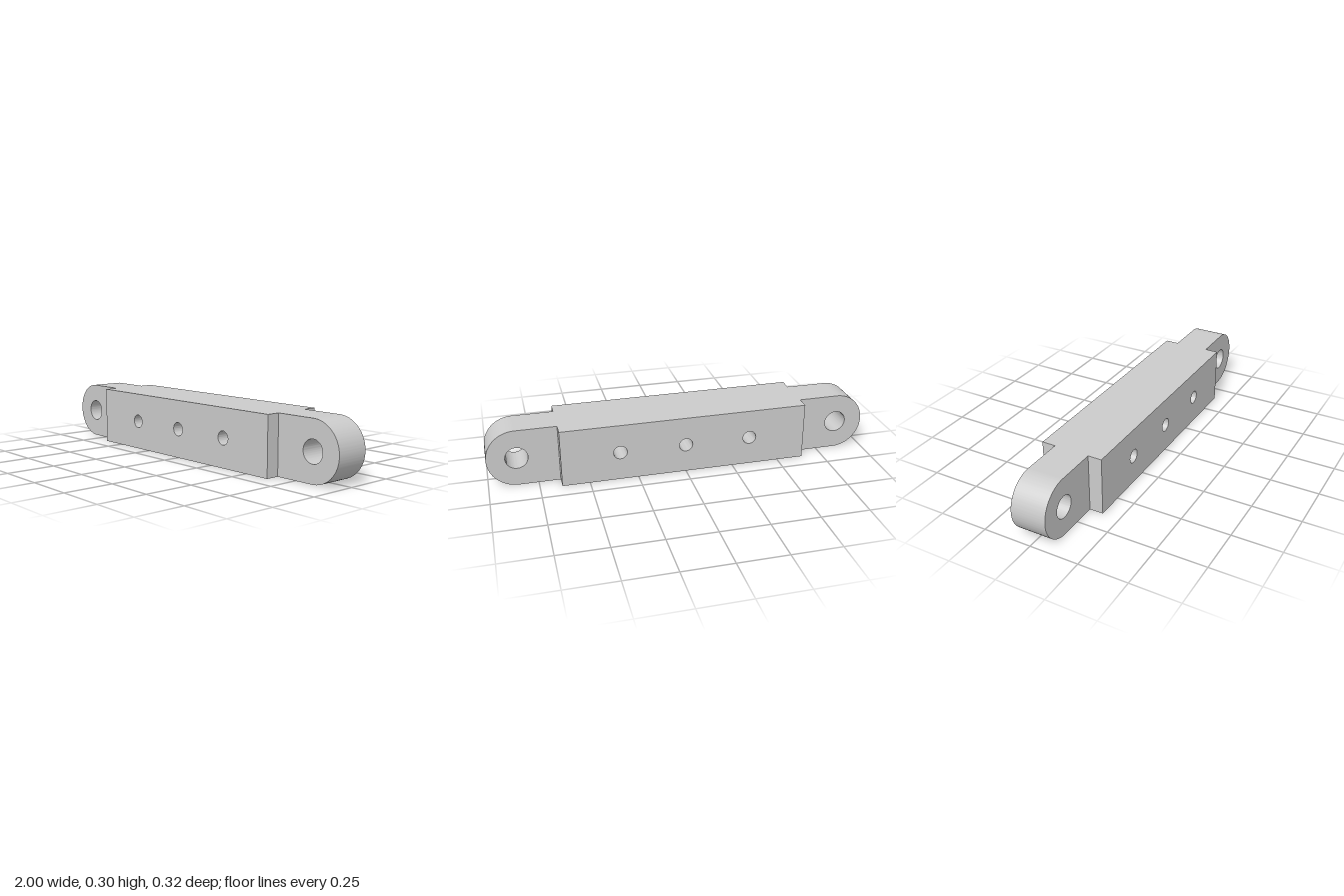
import * as THREE from 'three';
import { toCreasedNormals } from 'three/addons/utils/BufferGeometryUtils.js';

const R = 0.15;          // half height, also the radius of the rounded ends
const BODY_X = 0.64;     // half length of the thick middle block
const PIN_X = 0.85;      // centre of each end hole

function addHole(shape, x, radius) {
  const hole = new THREE.Path();
  hole.absarc(x, R, radius, 0, Math.PI * 2, true);
  shape.holes.push(hole);
}

// Extrude a front profile symmetrically about z = 0
function plate(name, shape, depth, material) {
  const geometry = new THREE.ExtrudeGeometry(shape, { depth, bevelEnabled: false, curveSegments: 40 });
  geometry.translate(0, 0, -depth / 2);
  const mesh = new THREE.Mesh(toCreasedNormals(geometry, 0.6), material);
  mesh.name = name;
  return mesh;
}

export function createModel() {
  const group = new THREE.Group();
  group.name = 'linkBar';
  const material = new THREE.MeshStandardMaterial({ color: 0xcccccc });

  // Thick middle block with three small through holes
  const body = new THREE.Shape();
  body.moveTo(-BODY_X, 0);
  body.lineTo(BODY_X, 0);
  body.lineTo(BODY_X, 2 * R);
  body.lineTo(-BODY_X, 2 * R);
  body.closePath();
  for (const x of [-0.34, 0, 0.34]) addHole(body, x, 0.035);
  group.add(plate('middleBlock', body, 0.32, material));

  // Thinner rounded lug with a pin hole, repeated at the other end
  const lug = new THREE.Shape();
  lug.moveTo(BODY_X, 0);
  lug.lineTo(PIN_X, 0);
  lug.absarc(PIN_X, R, R, -Math.PI / 2, Math.PI / 2, false);
  lug.lineTo(BODY_X, 2 * R);
  lug.closePath();
  addHole(lug, PIN_X, 0.057);
  const leftLug = plate('leftLug', lug, 0.18, material);
  const rightLug = leftLug.clone();
  rightLug.name = 'rightLug';
  rightLug.rotation.y = Math.PI;
  group.add(leftLug, rightLug);

  return group;
}
